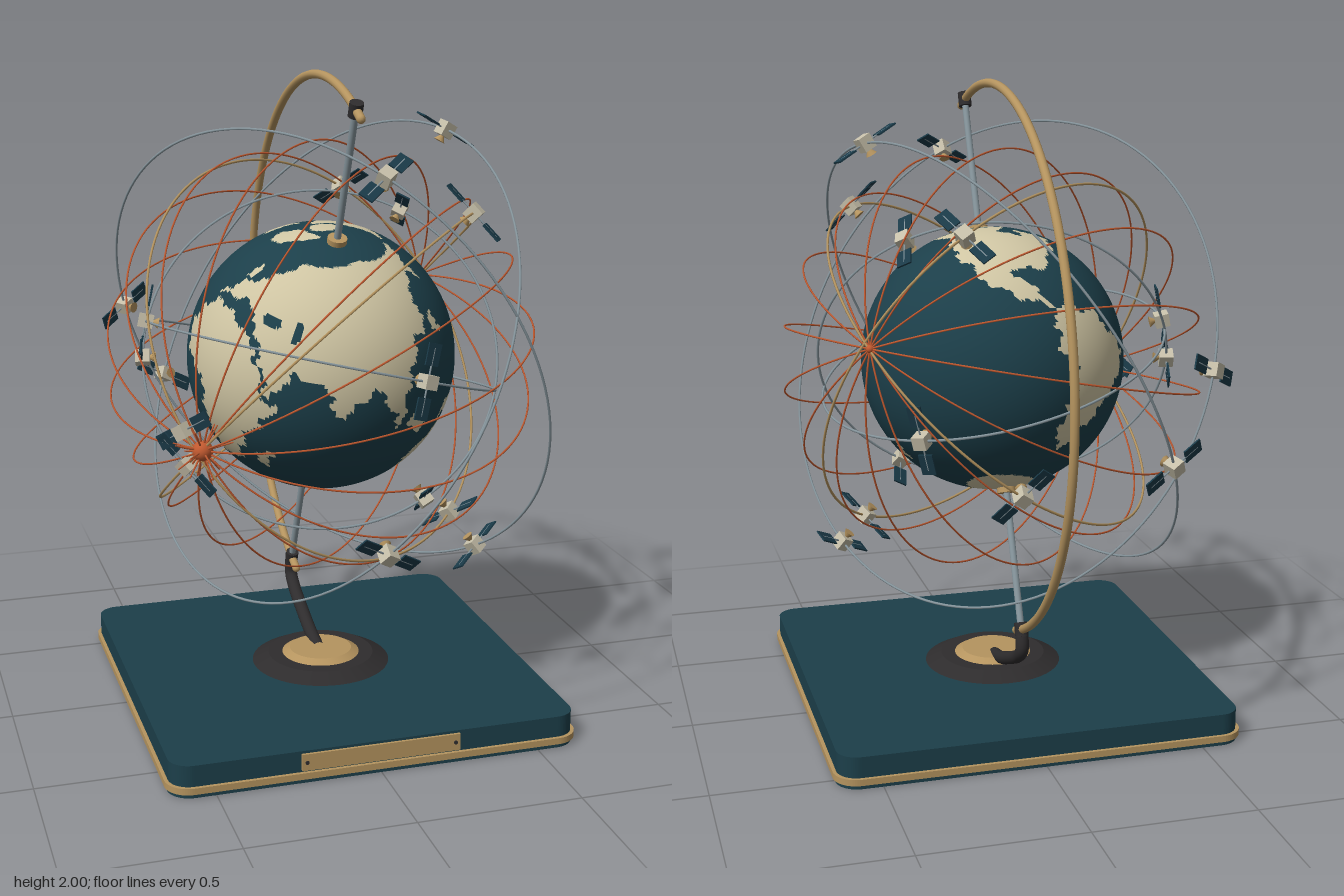
import * as THREE from 'three';

const mat = (name, color) => Object.assign(new THREE.MeshStandardMaterial({ color }), { name });
const V = (x, y, z) => new THREE.Vector3(x, y, z);
const UP = V(0, 1, 0);
const TILT = THREE.MathUtils.degToRad(23.5);
const GLOBE_R = 0.418, FRONT_LON = 85, Z0 = 0.055;

// Coarse continents as longitude, latitude corners
const CONTINENTS = [
  [-17,15, -8,34, 10,37, 33,30, 43,12, 51,11, 40,-5, 32,-28, 20,-35, 9,4, -8,5],
  [-9,37, 0,48, 12,57, 28,71, 105,77, 188,66, 162,60, 156,51, 154,59, 135,54, 127,36, 119,38,
    109,20, 104,1, 97,16, 90,22, 78,8, 70,22, 56,26, 45,13, 35,30, 27,38, 14,45],
  [-167,65, -125,70, -82,69, -94,59, -80,53, -77,62, -56,52, -81,28, -97,29, -89,18, -77,7, -106,19, -124,42, -135,58],
  [-80,10, -60,9, -35,-6, -40,-20, -66,-54, -75,-48, -70,-18, -81,-5],
  [114,-22, 131,-12, 142,-12, 153,-27, 148,-38, 131,-32, 116,-35],
];
// Islands and inland seas as ellipses: longitude, latitude and half sizes
const ISLANDS = [[-42, 72, 16, 11], [-90, 75, 24, 5], [114, 1, 5, 5], [141, -5, 9, 4],
  [47, -19, 3, 6], [138, 37, 3, 5], [-3, 54, 3, 4], [172, -41, 3, 5]];
const SEAS = [[35, 43, 6, 2.5], [51, 42, 2.5, 5]];

const inEllipse = ([cx, cy, rx, ry], x, y) => ((x - cx) / rx) ** 2 + ((y - cy) / ry) ** 2 < 1;
function inPolygon(poly, x, y) {
  let hit = false;
  for (let i = 0, j = poly.length - 2; i < poly.length; j = i, i += 2) {
    const [xi, yi, xj, yj] = [poly[i], poly[i + 1], poly[j], poly[j + 1]];
    if ((yi > y) !== (yj > y) && x < ((xj - xi) * (y - yi)) / (yj - yi) + xi) hit = !hit;
  }
  return hit;
}
// Small ripples make the straight coasts irregular; the far south is an ice cap
function isLand(lon, lat) {
  lon = ((lon + 540) % 360) - 180;
  const calm = Math.max(0, Math.cos(lat * 0.022));
  const x = lon + 1.6 * Math.sin(lat * 0.55) + Math.sin(lat * 1.3);
  const y = lat + calm * (1.3 * Math.sin(lon * 0.45) + 0.7 * Math.sin(lon * 1.1));
  if (lat < -72 + 3 * Math.sin(lon * 0.035)) return true;
  if (SEAS.some((e) => inEllipse(e, lon, lat))) return false;
  return ISLANDS.some((e) => inEllipse(e, x, y)) ||
    CONTINENTS.some((p) => inPolygon(p, x, y) || inPolygon(p, x + 360, y));
}

// Sphere whose faces are sorted into sea and land groups
function globeGeometry() {
  const g = new THREE.SphereGeometry(GLOBE_R, 240, 120);
  const idx = g.index.array, p = g.attributes.position, sea = [], land = [];
  const c = V(), t = V();
  for (let i = 0; i < idx.length; i += 3) {
    c.set(0, 0, 0);
    for (let k = 0; k < 3; k++) c.add(t.fromBufferAttribute(p, idx[i + k]));
    c.normalize();
    const lat = THREE.MathUtils.radToDeg(Math.asin(c.y));
    const lon = THREE.MathUtils.radToDeg(Math.atan2(c.x, c.z)) + FRONT_LON;
    (isLand(lon, lat) ? land : sea).push(idx[i], idx[i + 1], idx[i + 2]);
  }
  g.setIndex(sea.concat(land));
  g.addGroup(0, sea.length, 0);
  g.addGroup(sea.length, land.length, 1);
  return g;
}

function roundedSlab(half, r, y0, y1) {
  const s = new THREE.Shape(), q = half - r;
  s.absarc(q, q, r, 0, Math.PI / 2);
  s.absarc(-q, q, r, Math.PI / 2, Math.PI);
  s.absarc(-q, -q, r, Math.PI, Math.PI * 1.5);
  s.absarc(q, -q, r, Math.PI * 1.5, Math.PI * 2);
  return new THREE.ExtrudeGeometry(s, { depth: y1 - y0, bevelEnabled: false, curveSegments: 8 })
    .rotateX(-Math.PI / 2).translate(0, y0, 0);
}

export function createModel() {
  const teal = mat('deep teal', 0x1c3f4a), ivory = mat('ivory land', 0xcfc5a3);
  const brass = mat('brass', 0xb5945f), black = mat('blackened steel', 0x2e2c2d);
  const steel = mat('steel', 0x87969d), copper = mat('copper', 0xc25a30);
  const body = mat('satellite casing', 0xc6bfa9), panel = mat('solar panel', 0x1a3a48);

  const model = new THREE.Group();
  const add = (parent, name, geo, m, x = 0, y = 0, z = 0) => {
    const mesh = new THREE.Mesh(geo, m);
    mesh.name = name;
    mesh.position.set(x, y, z);
    parent.add(mesh);
    return mesh;
  };
  const group = (parent, name, x = 0, y = 0, z = 0) => {
    const g = new THREE.Group();
    g.name = name;
    g.position.set(x, y, z);
    parent.add(g);
    return g;
  };

  // Base, plaque and rosette
  const base = group(model, 'base', 0, 0, Z0);
  add(base, 'foot', roundedSlab(0.632, 0.07, 0, 0.014), teal);
  add(base, 'trim', roundedSlab(0.64, 0.075, 0.014, 0.034), brass);
  add(base, 'plinth', roundedSlab(0.629, 0.065, 0.034, 0.1), teal);
  add(base, 'plaque', new THREE.BoxGeometry(0.49, 0.052, 0.009), brass, 0, 0.066, 0.633);
  for (const s of [-1, 1]) {
    add(base, 'plaqueScrew', new THREE.CylinderGeometry(0.006, 0.006, 0.004, 10).rotateX(Math.PI / 2), black,
      s * 0.23, 0.066, 0.639);
  }
  add(base, 'rosette', new THREE.CylinderGeometry(0.17, 0.222, 0.026, 48), black, 0, 0.113, 0);
  add(base, 'rosetteCap', new THREE.CylinderGeometry(0.1, 0.125, 0.014, 48), brass, 0, 0.133, 0);

  // Bent support arm
  const armPath = new THREE.CatmullRomCurve3([
    V(0, 0.125, 0.03), V(0, 0.14, -0.04), V(0, 0.185, -0.16), V(0, 0.235, -0.265), V(0, 0.27, -0.3), V(0, 0.345, -0.289)]);
  add(model, 'supportArm', new THREE.TubeGeometry(armPath, 40, 0.021, 14), black);

  // Half meridian behind the globe
  const sphere = group(model, 'sphereAssembly', 0, 1.122, Z0);
  const a0 = THREE.MathUtils.degToRad(-70.5), a1 = THREE.MathUtils.degToRad(117);
  const meridian = group(sphere, 'meridian');
  add(meridian, 'meridianBow',
    new THREE.TorusGeometry(0.864, 0.0135, 12, 100, a1 - a0).rotateZ(a0).rotateY(Math.PI / 2), brass);
  for (const a of [a0, a1]) {
    add(meridian, 'bowTip', new THREE.SphereGeometry(0.0135, 12, 8), brass, 0, 0.864 * Math.sin(a), -0.864 * Math.cos(a));
  }

  // Tilted globe with its axle
  const globe = group(sphere, 'globe');
  globe.rotation.x = TILT;
  add(globe, 'earth', globeGeometry(), [teal, ivory]);
  for (const s of [-1, 1]) {
    add(globe, 'axle', new THREE.CylinderGeometry(0.011, 0.011, 0.46, 12), steel, 0, s * 0.63, 0);
    add(globe, 'poleCollar', new THREE.CylinderGeometry(0.03, 0.03, 0.02, 20), brass, 0, s * 0.424, 0);
    add(globe, 'axleNut', new THREE.CylinderGeometry(0.021, 0.021, 0.045, 16), black, 0, s * 0.864, 0);
  }

  // Cage of copper great circles meeting at the hub
  const cage = group(sphere, 'copperCage');
  cage.quaternion.setFromUnitVectors(UP, V(-0.48, -0.147, 0.437).normalize());
  const CAGE_R = 0.666;
  for (let i = 0; i < 8; i++) {
    add(cage, 'cageRing', new THREE.TorusGeometry(CAGE_R, 0.003, 5, 110), copper).rotation.y = (i * Math.PI) / 8;
  }
  add(cage, 'farNode', new THREE.SphereGeometry(0.012, 12, 8), copper, 0, -CAGE_R, 0);
  add(cage, 'hub', new THREE.SphereGeometry(0.03, 20, 14), copper, 0, CAGE_R, 0);
  for (let i = 0; i < 20; i++) {
    const y = 1 - (2 * i + 1) / 20, r = Math.sqrt(1 - y * y), a = i * 2.4;
    const ray = add(cage, 'hubRay', new THREE.CylinderGeometry(0.002, 0.004, 0.09, 5).translate(0, 0.045, 0), copper, 0, CAGE_R, 0);
    ray.quaternion.setFromUnitVectors(UP, V(r * Math.cos(a), y, r * Math.sin(a)));
  }

  // One satellite: wings along the orbit's axis, dish facing the globe
  function satellite(parent, dir, normal, R) {
    const s = group(parent, 'satellite');
    s.quaternion.setFromRotationMatrix(
      new THREE.Matrix4().makeBasis(normal, dir, new THREE.Vector3().crossVectors(normal, dir)));
    s.position.copy(dir).multiplyScalar(R);
    add(s, 'casing', new THREE.BoxGeometry(0.042, 0.045, 0.042), body);
    add(s, 'dish', new THREE.CylinderGeometry(0.006, 0.018, 0.018, 14), brass, 0, -0.031, 0);
    add(s, 'boom', new THREE.CylinderGeometry(0.003, 0.003, 0.2, 6).rotateZ(Math.PI / 2), steel);
    for (const k of [-1, 1]) add(s, 'solarPanel', new THREE.BoxGeometry(0.066, 0.005, 0.046), panel, k * 0.08, 0, 0);
  }

  // Orbits: radius, wire and three satellite directions, the first two fixing the plane
  const orbits = [
    [0.797, steel, V(0.04, 0.618, 0.5), V(0.466, -0.62, 0.157), V(-0.5, 0.065, -0.61)],
    [0.797, steel, V(0.4, 0.693, 0.01), V(0, -0.43, 0.672), V(-0.365, -0.2, -0.68)],
    [0.667, brass, V(0.4, 0.468, 0.257), V(0.07, -0.28, -0.6), V(-0.51, -0.2, 0.37)],
    [0.667, brass, V(0.2, 0.463, -0.44), V(0.4, -0.52, 0.1), V(-0.46, -0.04, 0.46)],
    [0.555, steel, V(0.315, 0.41, -0.178), V(0.24, -0.4, 0.307), V(-0.54, 0.01, -0.11)],
    [0.555, steel, V(0.33, -0.14, -0.425), V(0.16, 0.03, 0.522), V(-0.5, 0.11, -0.1)],
  ];
  for (const [R, wire, ...dirs] of orbits) {
    const orbit = group(sphere, 'orbit');
    dirs.forEach((d) => d.normalize());
    const n = new THREE.Vector3().crossVectors(dirs[0], dirs[1]).normalize();
    const ring = add(orbit, 'orbitRing', new THREE.TorusGeometry(R, 0.004, 6, 120), wire);
    ring.quaternion.setFromUnitVectors(V(0, 0, 1), n);
    // Project each direction onto the plane so every satellite rides its wire
    for (const d of dirs) satellite(orbit, d.projectOnPlane(n).normalize(), n, R);
  }
  return model;
}
